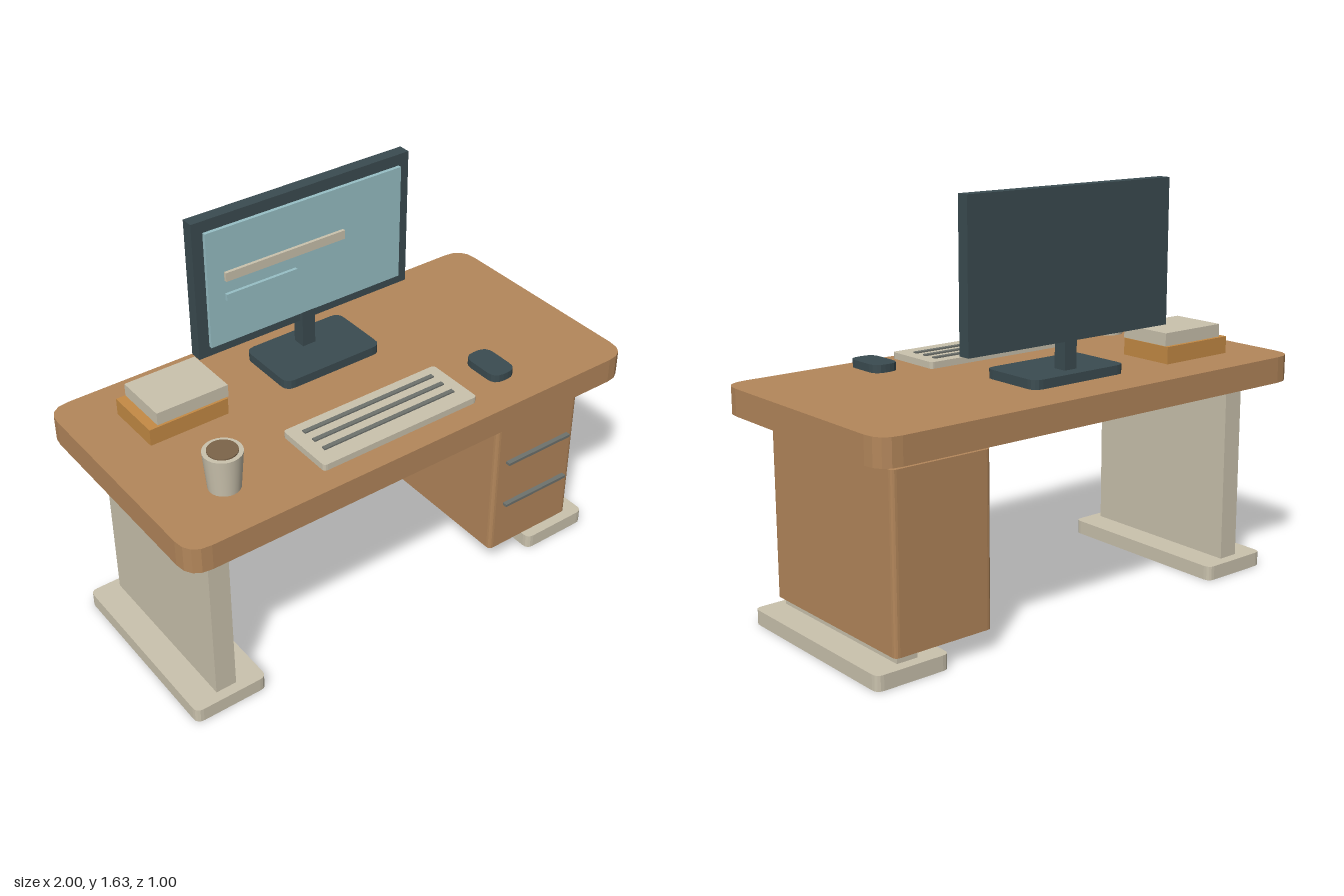
import * as THREE from 'three';

const mat = (name, color) => {
  const m = new THREE.MeshStandardMaterial({ color });
  m.name = name;
  return m;
};

export function createModel() {
  const wood = mat('wood', 0xb4875b);
  const cream = mat('cream', 0xcbc3ae);
  const slate = mat('slate', 0x3b4c51);
  const screenBlue = mat('screenBlue', 0x98c0c6);
  const amber = mat('amber', 0xc58b45);
  const grey = mat('grey', 0x6f736e);
  const coffeeBrown = mat('coffeeBrown', 0x7d654a);

  const desk = new THREE.Group();
  desk.name = 'desk';

  const group = (name) => {
    const g = new THREE.Group();
    g.name = name;
    desk.add(g);
    return g;
  };
  const add = (parent, name, geometry, material) => {
    const m = new THREE.Mesh(geometry, material);
    m.name = name;
    parent.add(m);
    return m;
  };

  // Box given by its limits on each axis
  const box = (parent, name, material, [x0, x1], [y0, y1], [z0, z1]) => {
    const m = add(parent, name, new THREE.BoxGeometry(x1 - x0, y1 - y0, z1 - z0), material);
    m.position.set((x0 + x1) / 2, (y0 + y1) / 2, (z0 + z1) / 2);
    return m;
  };

  // Slab with its four upright edges rounded by r
  const slab = (parent, name, material, [x0, x1], [y0, y1], [z0, z1], r) => {
    const w = (x1 - x0) / 2, d = (z1 - z0) / 2;
    const s = new THREE.Shape();
    s.moveTo(-w + r, -d);
    s.lineTo(w - r, -d);
    s.quadraticCurveTo(w, -d, w, -d + r);
    s.lineTo(w, d - r);
    s.quadraticCurveTo(w, d, w - r, d);
    s.lineTo(-w + r, d);
    s.quadraticCurveTo(-w, d, -w, d - r);
    s.lineTo(-w, -d + r);
    s.quadraticCurveTo(-w, -d, -w + r, -d);
    const g = new THREE.ExtrudeGeometry(s, { depth: y1 - y0, bevelEnabled: false, curveSegments: 4 });
    g.rotateX(-Math.PI / 2);
    const m = add(parent, name, g, material);
    m.position.set((x0 + x1) / 2, y0, (z0 + z1) / 2);
    return m;
  };

  // Desktop
  slab(desk, 'desktop', wood, [-1, 1], [0.804, 0.908], [-0.5, 0.5], 0.09);

  // Panel legs on flat feet
  for (const [side, x] of [['left', 0.811], ['right', -0.811]]) {
    const leg = group(side + 'Leg');
    box(leg, 'panel', cream, [x - 0.043, x + 0.043], [0.06, 0.796], [-0.36, 0.36]);
    slab(leg, 'foot', cream, [x - 0.154, x + 0.154], [0, 0.058], [-0.4, 0.4], 0.03);
  }

  // Drawer pedestal with bar handles
  const pedestal = group('drawerPedestal');
  slab(pedestal, 'cabinet', wood, [0.455, 0.875], [0.09, 0.757], [-0.383, 0.383], 0.02);
  for (const y of [0.315, 0.525]) {
    box(pedestal, 'handle', grey, [0.503, 0.827], [y - 0.006, y + 0.006], [0.392, 0.412]);
  }

  // Monitor
  const monitor = group('monitor');
  slab(monitor, 'base', slate, [-0.222, 0.222], [0.917, 0.953], [-0.342, -0.062], 0.04);
  box(monitor, 'stem', slate, [-0.029, 0.029], [0.95, 1.106], [-0.285, -0.229]);
  box(monitor, 'casing', slate, [-0.483, 0.483], [1.063, 1.627], [-0.295, -0.245]);
  box(monitor, 'screen', screenBlue, [-0.437, 0.437], [1.105, 1.581], [-0.245, -0.23]);
  box(monitor, 'headingBar', cream, [-0.367, 0.163], [1.37, 1.406], [-0.229, -0.216]);
  box(monitor, 'textBar', screenBlue, [-0.367, -0.057], [1.289, 1.316], [-0.229, -0.216]);

  // Keyboard with three key rows
  const keyboard = group('keyboard');
  slab(keyboard, 'keyboardBody', cream, [-0.396, 0.3], [0.92, 0.946], [0.166, 0.418], 0.015);
  for (const z of [0.219, 0.279, 0.339]) {
    box(keyboard, 'keyRow', grey, [-0.343, 0.25], [0.946, 0.952], [z - 0.009, z + 0.009]);
  }

  // Mouse
  slab(desk, 'mouse', slate, [0.42, 0.53], [0.928, 0.959], [0.201, 0.381], 0.045);

  // Mug and drink
  const mug = group('mug');
  mug.position.set(-0.713, 0, 0.27);
  add(mug, 'cup', new THREE.CylinderGeometry(0.073, 0.06, 0.153, 24), cream).position.y = 0.9905;
  add(mug, 'coffee', new THREE.CylinderGeometry(0.056, 0.056, 0.008, 24), coffeeBrown).position.y = 1.068;

  // Stacked books
  const books = group('books');
  box(books, 'lowerBook', amber, [-0.8, -0.47], [0.911, 0.979], [-0.32, -0.08]);
  box(books, 'upperBook', cream, [-0.763, -0.463], [0.982, 1.033], [-0.315, -0.086]);

  return desk;
}
